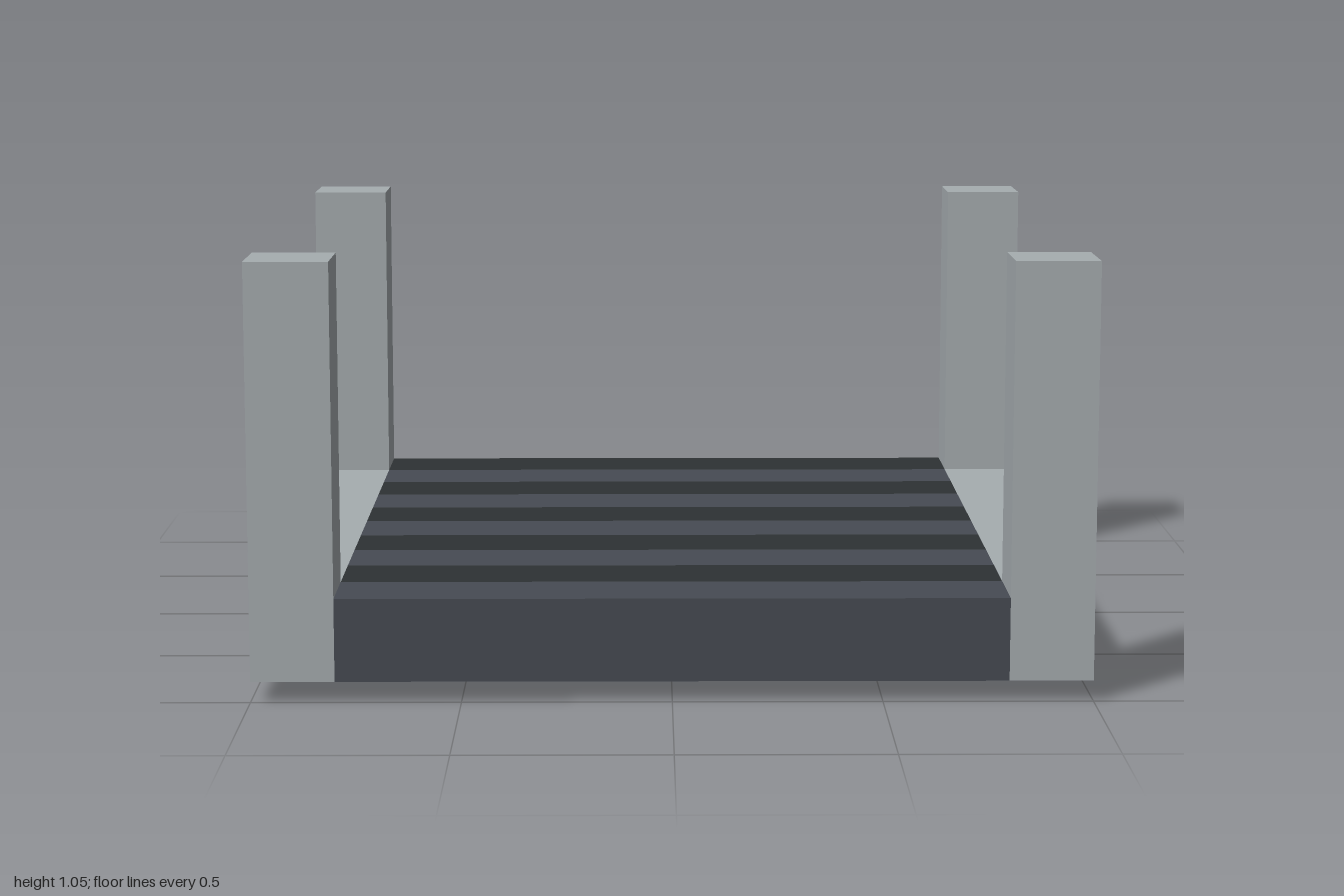
import * as THREE from 'three';

const material = (color) => new THREE.MeshStandardMaterial({ color, flatShading: true });

// Closed shape from a short list of corners
const shapeOf = (corners) => new THREE.Shape(corners.map(([x, y]) => new THREE.Vector2(x, y)));

export function createModel() {
  const model = new THREE.Group();
  model.name = 'slattedPlatform';

  const frameMaterial = material(0xa6adb0);
  const slatMaterials = [material(0x2e3234), material(0x474b53)];
  const footMaterial = material(0x4a9f4e);

  const add = (name, geometry, mat, x, y, z) => {
    const mesh = new THREE.Mesh(geometry, mat);
    mesh.name = name;
    mesh.position.set(x, y, z);
    model.add(mesh);
  };

  // Side frames: a low rail with a post at each end
  const frameProfile = shapeOf([
    [-1, 0.05], [1, 0.05], [1, 1.05], [0.8, 1.05],
    [0.8, 0.25], [-0.8, 0.25], [-0.8, 1.05], [-1, 1.05],
  ]);
  const frame = new THREE.ExtrudeGeometry(frameProfile, { depth: 0.2, bevelEnabled: false });
  frame.translate(0, 0, -0.1).rotateY(Math.PI / 2);

  // Feet: upright triangular prisms, each with its point to the front
  const foot = new THREE.ExtrudeGeometry(
    shapeOf([[-0.05, 0.05], [0, -0.05], [0.05, 0.05]]),
    { depth: 0.05, bevelEnabled: false },
  );
  foot.rotateX(-Math.PI / 2);

  for (const [side, x] of [['left', 0.9], ['right', -0.9]]) {
    add(`${side}Frame`, frame, frameMaterial, x, 0, 0);
    add(`${side}FrontFoot`, foot, footMaterial, x, 0, 0.6);
    add(`${side}BackFoot`, foot, footMaterial, x, 0, -0.6);
  }

  // Floor: ten slats in alternating shades, from back to front
  const slat = new THREE.BoxGeometry(1.6, 0.2, 0.2);
  for (let i = 0; i < 10; i++) {
    add(`floorSlat${i + 1}`, slat, slatMaterials[i % 2], 0, 0.15, -0.9 + i * 0.2);
  }

  return model;
}
